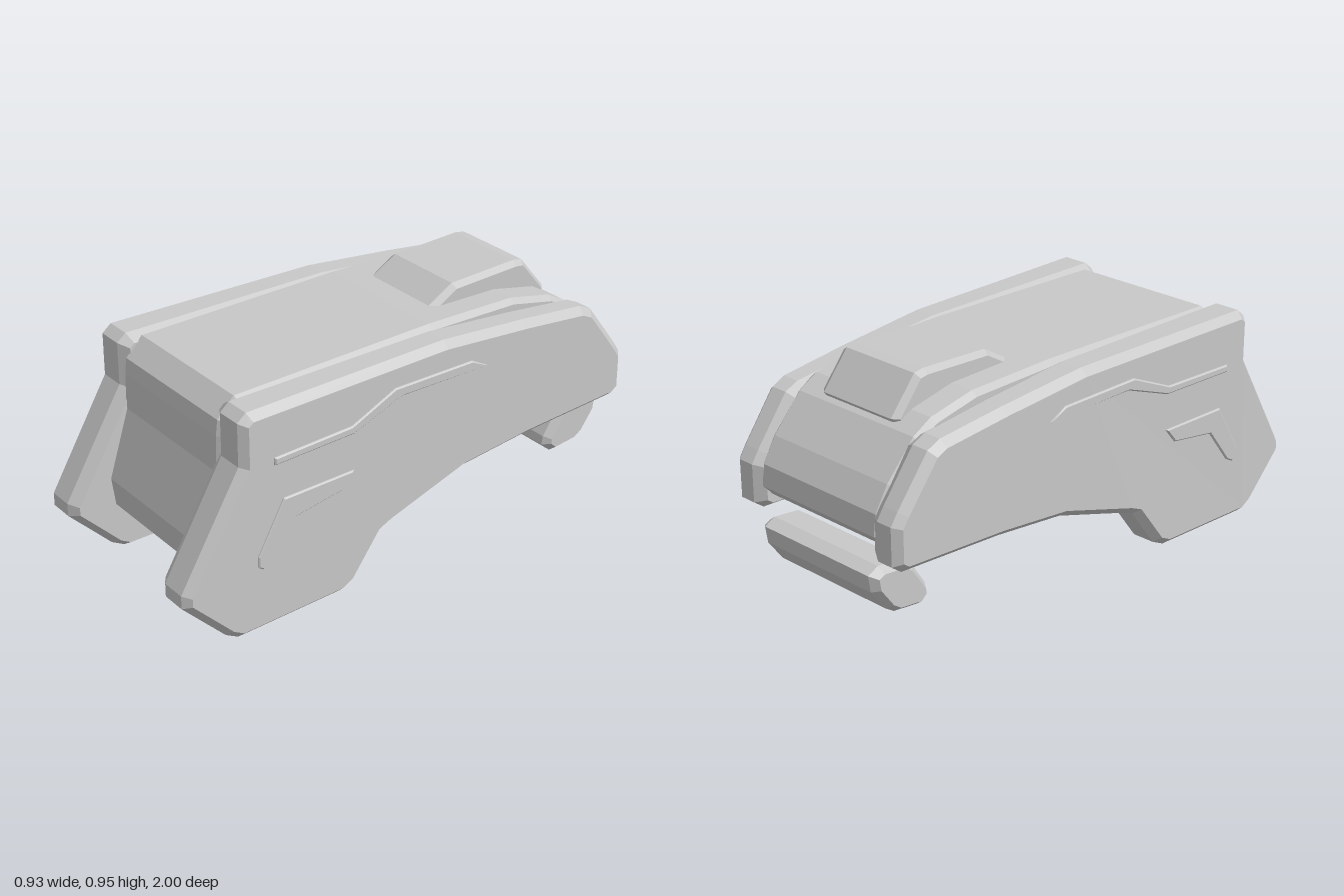
import * as THREE from 'three';

const grey = new THREE.MeshStandardMaterial({ color: 0xc8c8c8, flatShading: true });
grey.name = 'grey';

// Outlines are [z, y] points; this makes them run counter-clockwise seen from +x
function ordered(pts) {
  let area = 0;
  pts.forEach(([z, y], i) => {
    const [z2, y2] = pts[(i + 1) % pts.length];
    area += z2 * y - z * y2;
  });
  return area > 0 ? pts : [...pts].reverse();
}

// Mitred inward offset of an ordered outline
function inset(pts, d) {
  const n = pts.length;
  const normal = (a, b) => {
    const dz = b[0] - a[0], dy = b[1] - a[1], l = Math.hypot(dz, dy);
    return [dy / l, -dz / l];
  };
  return pts.map((p, i) => {
    const a = normal(pts[(i + n - 1) % n], p), b = normal(p, pts[(i + 1) % n]);
    const k = d / Math.max(0.4, 1 + a[0] * b[0] + a[1] * b[1]);
    return [p[0] + (a[0] + b[0]) * k, p[1] + (a[1] + b[1]) * k];
  });
}

// Slab across x with bevelled rims; lo(z) and hi(z) give its two faces
function slab(name, outline, lo, hi, bevelLo, bevelHi, rim) {
  const pts = ordered(outline);
  const small = inset(pts, rim);
  const ring = (p, f) => p.map(([z, y]) => [f(z), y, z]);
  const rings = [
    ring(small, lo),
    ring(pts, (z) => lo(z) + bevelLo),
    ring(pts, (z) => hi(z) - bevelHi),
    ring(small, hi),
  ];
  const pos = [];
  const n = pts.length;
  for (let r = 0; r < 3; r++) {
    for (let i = 0; i < n; i++) {
      const j = (i + 1) % n;
      const a = rings[r][i], b = rings[r][j], c = rings[r + 1][j], d = rings[r + 1][i];
      pos.push(...a, ...b, ...c, ...a, ...c, ...d);
    }
  }
  const flat = small.map(([z, y]) => new THREE.Vector2(-z, y));
  for (const [a, b, c] of THREE.ShapeUtils.triangulateShape(flat, [])) {
    pos.push(...rings[3][a], ...rings[3][b], ...rings[3][c]);
    pos.push(...rings[0][a], ...rings[0][c], ...rings[0][b]);
  }
  const geo = new THREE.BufferGeometry();
  geo.setAttribute('position', new THREE.Float32BufferAttribute(pos, 3));
  geo.computeVertexNormals();
  const mesh = new THREE.Mesh(geo, grey);
  mesh.name = name;
  return mesh;
}

const sidePlate = [
  [0.76, 0.822], [0.76, 0.66], [1, 0.25], [1, 0.2], [0.83, 0.03], [0.78, 0.003],
  [0.34, 0.018], [0.285, 0.045], [0.165, 0.205], [0.12, 0.225], [-0.22, 0.333],
  [-0.52, 0.365], [-0.96, 0.39], [-1, 0.42], [-1, 0.565], [-0.97, 0.61],
  [-0.835, 0.785], [-0.78, 0.81], [-0.5, 0.838], [-0.12, 0.867], [0.725, 0.852],
];
const bodyProfile = [
  [0.68, 0.845], [0.748, 0.775], [0.755, 0.715], [0.758, 0.58], [0.84, 0.32],
  [0.825, 0.21], [0.76, 0.147], [0.68, 0.15], [0.53, 0.172], [0.4, 0.215],
  [0.25, 0.29], [0.1, 0.345], [-0.2, 0.4], [-0.5, 0.43], [-0.95, 0.45],
  [-0.985, 0.49], [-0.975, 0.57], [-0.92, 0.66], [-0.8, 0.79], [-0.72, 0.835],
  [-0.53, 0.873], [-0.15, 0.875],
];
const humpProfile = [
  [-0.23, 0.865], [-0.35, 0.937], [-0.64, 0.953], [-0.68, 0.947],
  [-0.79, 0.815], [-0.76, 0.77], [-0.28, 0.8],
];
const barProfile = [
  [-0.74, 0.19], [-0.78, 0.155], [-0.89, 0.17], [-0.93, 0.197], [-0.99, 0.28],
  [-1, 0.345], [-0.955, 0.367], [-0.85, 0.355], [-0.81, 0.325], [-0.745, 0.225],
];
const upperTrim = [
  [0.635, 0.668], [0.31, 0.68], [0.12, 0.765], [-0.23, 0.765],
  [-0.3, 0.728], [0.09, 0.728], [0.3, 0.65], [0.635, 0.64],
];
const lowerTrim = [
  [0.6, 0.503], [0.3, 0.508], [0.35, 0.447], [0.55, 0.415],
  [0.655, 0.275], [0.69, 0.257], [0.71, 0.27], [0.71, 0.31],
];

// The shell narrows towards the back
const outer = (z) => 0.41 + 0.05 * Math.min((z + 1) / 1.75, 1);
const inner = (z) => 0.28 + 0.008 * z;
const trimLo = (z) => outer(z) - 0.001;
const trimHi = (z) => outer(z) + 0.0085;

// Part that spans the model symmetrically
function across(name, profile, half, bevel, rim) {
  return slab(name, profile, (z) => -half(z), half, bevel, bevel, rim);
}

export function createModel() {
  const group = new THREE.Group();
  group.name = 'armourShell';

  // Central body, raised top block and rear bar
  group.add(
    across('centralBody', bodyProfile, (z) => 0.311 + 0.006 * z, 0.024, 0.018),
    across('topBlock', humpProfile, () => 0.19, 0.024, 0.017),
    across('rearBar', barProfile, () => 0.293, 0.03, 0.022),
  );

  // Side plates with their raised trims, mirrored left and right
  const parts = [
    ['SidePlate', sidePlate, inner, outer, 0.043, 0.03, 0.027],
    ['UpperTrim', upperTrim, trimLo, trimHi, 0.001, 0.005, 0.005],
    ['LowerTrim', lowerTrim, trimLo, trimHi, 0.001, 0.005, 0.005],
  ];
  for (const [name, outline, lo, hi, bLo, bHi, rim] of parts) {
    group.add(
      slab('left' + name, outline, lo, hi, bLo, bHi, rim),
      slab('right' + name, outline, (z) => -hi(z), (z) => -lo(z), bHi, bLo, rim),
    );
  }
  return group;
}
